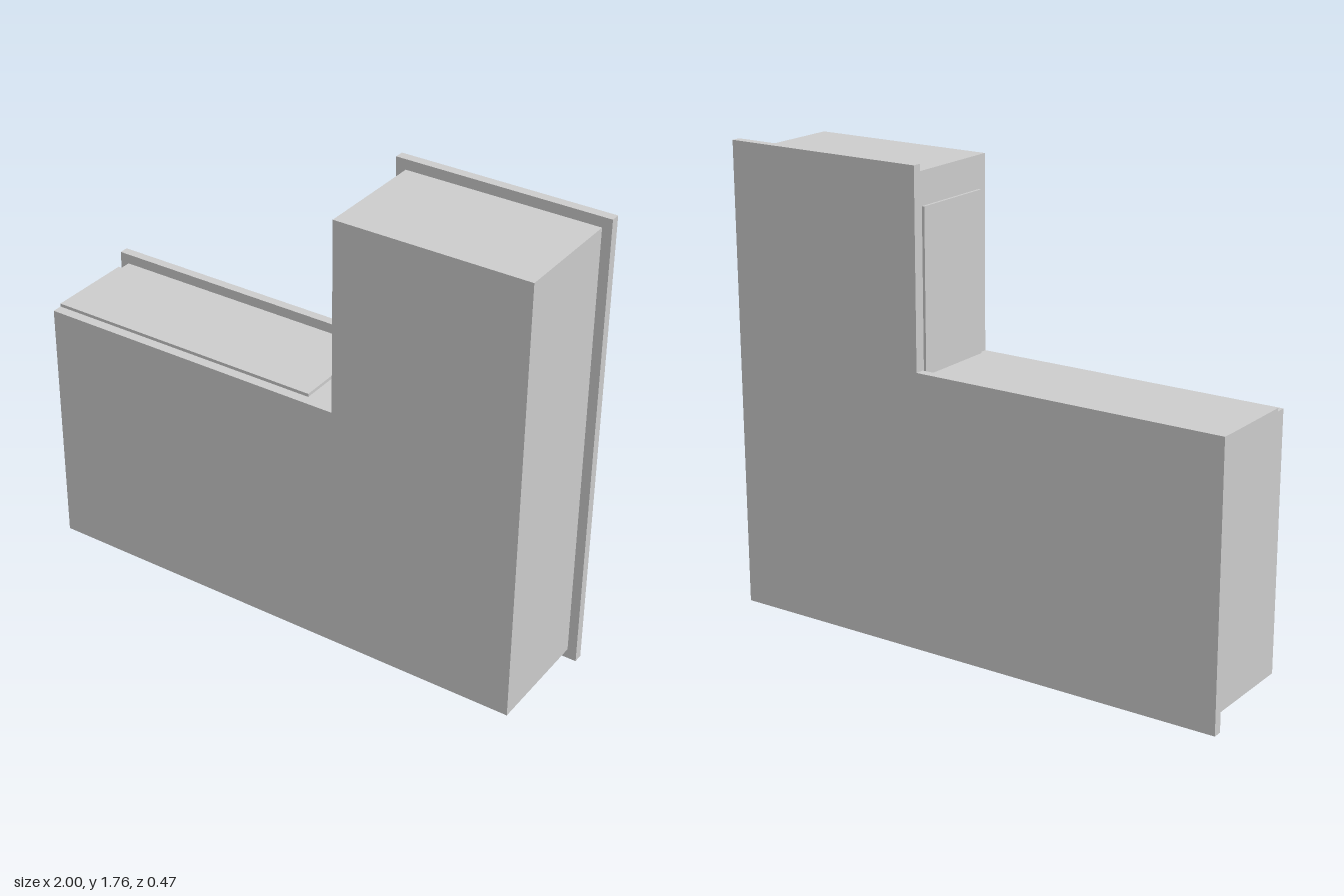
import * as THREE from 'three';

const grey = new THREE.MeshStandardMaterial({ color: 0xcccccc });
grey.name = 'light grey';

// L-shaped slab: full width below, tall column on the +x side
function stepSlab(name, half, bottom, stepX, stepY, top, zBack, zFront) {
  const shape = new THREE.Shape([
    [-half, bottom], [half, bottom], [half, top],
    [stepX, top], [stepX, stepY], [-half, stepY],
  ].map(([x, y]) => new THREE.Vector2(x, y)));
  const geometry = new THREE.ExtrudeGeometry(shape, { depth: zFront - zBack, bevelEnabled: false });
  geometry.translate(0, 0, zBack);
  const mesh = new THREE.Mesh(geometry, grey);
  mesh.name = name;
  return mesh;
}

// Box given by its minimum and maximum corners
function panel(name, [x0, y0, z0], [x1, y1, z1]) {
  const mesh = new THREE.Mesh(new THREE.BoxGeometry(x1 - x0, y1 - y0, z1 - z0), grey);
  mesh.position.set((x0 + x1) / 2, (y0 + y1) / 2, (z0 + z1) / 2);
  mesh.name = name;
  return mesh;
}

export function createModel() {
  const model = new THREE.Group();
  model.name = 'steppedCabinet';
  model.add(
    // Main body and the slightly larger plate behind it
    stepSlab('body', 0.965, 0.038, 0.24, 1.0, 1.722, -0.198, 0.233),
    stepSlab('backPlate', 1, 0, 0.202, 1.038, 1.76, -0.233, -0.198),
    // Thin raised panels on the low top and on the step wall
    panel('topPanel', [-0.965, 1.0, -0.14], [0.12, 1.012, 0.195]),
    panel('wallPanel', [0.23, 1.0, -0.14], [0.24, 1.6, 0.195]),
  );
  return model;
}
